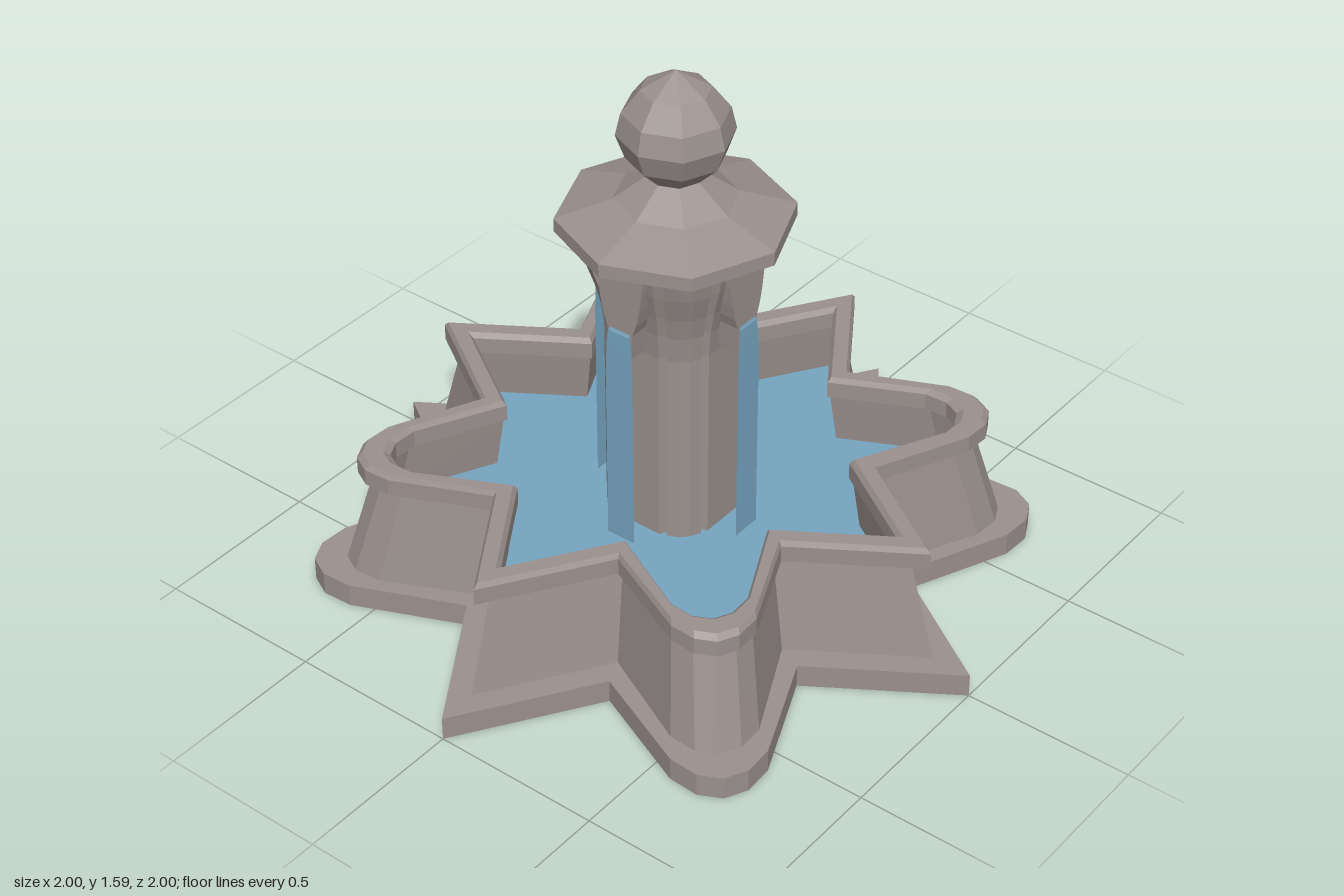
import * as THREE from 'three';

const stone = new THREE.MeshStandardMaterial({ color: 0x9b918e });
stone.name = 'stone';
const water = new THREE.MeshStandardMaterial({ color: 0x76a5c0, side: THREE.DoubleSide });
water.name = 'water';

function part(name, geometry, material) {
  const mesh = new THREE.Mesh(geometry, material);
  mesh.name = name;
  return mesh;
}

// Flat-shaded version of a geometry
function faceted(geometry) {
  const g = geometry.index ? geometry.toNonIndexed() : geometry;
  g.computeVertexNormals();
  return g;
}

// Skin a stack of equal-length rings of [x, y, z]; "closed" joins the last ring to the first
function loft(rings, closed = false) {
  const n = rings[0].length, index = [];
  const last = closed ? rings.length : rings.length - 1;
  for (let j = 0; j < last; j++) {
    const k = (j + 1) % rings.length;
    for (let i = 0; i < n; i++) {
      const m = (i + 1) % n;
      const a = j * n + i, b = j * n + m, c = k * n + m, d = k * n + i;
      index.push(a, b, c, a, c, d);
    }
  }
  const g = new THREE.BufferGeometry();
  g.setAttribute('position', new THREE.Float32BufferAttribute(rings.flat(2), 3));
  g.setIndex(index);
  return faceted(g);
}

// Repeat a quarter outline of [x, z] around the four sides
function fourfold(quarter) {
  const points = [];
  for (let q = 0; q < 4; q++) {
    for (const [x0, z0] of quarter) {
      let x = x0, z = z0;
      for (let r = 0; r < q; r++) [x, z] = [z, -x];
      points.push([x, z]);
    }
  }
  return points;
}

// Eight-armed outline: sharp arms on the axes, rounded lobes on the diagonals
function star(s, lobe) {
  const round = [[0.567, 0.749], [0.658, 0.754], [0.722, 0.722], [0.754, 0.658], [0.749, 0.567]];
  return fourfold([
    [0, s], [0.253 * s, 0.612 * s],
    ...round.map(([x, z]) => [x * lobe, z * lobe]),
    [0.612 * s, 0.253 * s],
  ]);
}

// Each level is [y, arm scale, lobe scale]
const starLoft = (levels) =>
  loft(levels.map(([y, s, l]) => star(s, l).map(([x, z]) => [x, y, z])), true);

function createBasin() {
  const basin = new THREE.Group();
  basin.name = 'basin';
  basin.add(part('basinWall', starLoft([
    [0, 1, 1], [0.07, 1, 1], [0.07, 0.88, 0.91], [0.37, 0.79, 0.82],
    [0.37, 0.76, 0.79], [0.2, 0.8, 0.83], [0, 0.88, 0.91],
  ]), stone));
  basin.add(part('basinRim', starLoft([
    [0.365, 0.855, 0.865], [0.415, 0.855, 0.865], [0.43, 0.84, 0.85],
    [0.43, 0.765, 0.795], [0.415, 0.745, 0.775], [0.365, 0.745, 0.775],
  ]), stone));

  // Pool surface
  const shape = new THREE.Shape(star(0.8, 0.83).map(([x, z]) => new THREE.Vector2(x, -z)));
  const pool = new THREE.ShapeGeometry(shape).rotateX(-Math.PI / 2);
  pool.translate(0, 0.205, 0);
  basin.add(part('poolWater', pool, water));
  return basin;
}

// Hollow fluted column that flares towards the top
function createColumn() {
  const outline = fourfold([
    [-0.075, 0.17], [0.075, 0.17], [0.085, 0.15], [0.095, 0.163],
    [0.127, 0.147], [0.147, 0.127], [0.163, 0.095], [0.15, 0.085],
  ]);
  const levels = [
    [0.19, 1], [0.8, 1], [0.88, 1.05], [0.95, 1.14], [1.03, 1.28], [1.12, 1.4],
    [1.12, 0.86], [0.19, 0.86],
  ];
  const rings = levels.map(([y, s]) => outline.map(([x, z]) => [x * s, y, z * s]));
  return part('column', loft(rings, true), stone);
}

// Tapered corbel from which the water falls
function createSpout() {
  const shape = new THREE.Shape();
  shape.moveTo(-0.08, 1.12);
  shape.quadraticCurveTo(-0.07, 0.96, -0.042, 0.9);
  shape.lineTo(-0.036, 0.82);
  shape.lineTo(0.036, 0.82);
  shape.lineTo(0.042, 0.9);
  shape.quadraticCurveTo(0.07, 0.96, 0.08, 1.12);
  const g = new THREE.ExtrudeGeometry(shape, { depth: 0.1, bevelEnabled: false, curveSegments: 4 });
  g.translate(0, 0, 0.14);
  return part('spout', faceted(g), stone);
}

// Thin falling sheet of water, each row is [y, z, half width]
function createStream() {
  const rows = [
    [0.19, 0.246, 0.046], [0.75, 0.246, 0.046], [0.85, 0.245, 0.042],
    [0.89, 0.244, 0.036], [0.91, 0.235, 0.028],
  ];
  const pos = [], index = [];
  rows.forEach(([y, z, w], i) => {
    pos.push(-w, y, z, w, y, z);
    if (i) {
      const a = 2 * i - 2;
      index.push(a, a + 1, a + 3, a, a + 3, a + 2);
    }
  });
  const g = new THREE.BufferGeometry();
  g.setAttribute('position', new THREE.Float32BufferAttribute(pos, 3));
  g.setIndex(index);
  return part('stream', faceted(g), water);
}

// Eight-sided turned part from [radius, y] points, listed bottom to top
function turned(name, profile) {
  const points = profile.map(([r, y]) => new THREE.Vector2(r, y));
  return part(name, faceted(new THREE.LatheGeometry(points, 8)), stone);
}

export function createModel() {
  const fountain = new THREE.Group();
  fountain.name = 'fountain';
  fountain.add(createBasin(), createColumn());

  for (let i = 0; i < 4; i++) {
    const outlet = new THREE.Group();
    outlet.name = 'outlet';
    outlet.add(createSpout(), createStream());
    outlet.rotation.y = i * Math.PI / 2;
    fountain.add(outlet);
  }

  fountain.add(turned('roof', [
    [0, 1.115], [0.325, 1.115], [0.325, 1.155], [0.17, 1.205], [0.07, 1.275], [0, 1.275],
  ]));
  fountain.add(turned('finial', [
    [0, 1.27], [0.075, 1.27], [0.135, 1.33], [0.16, 1.4], [0.145, 1.465],
    [0.095, 1.53], [0, 1.585],
  ]));
  return fountain;
}
